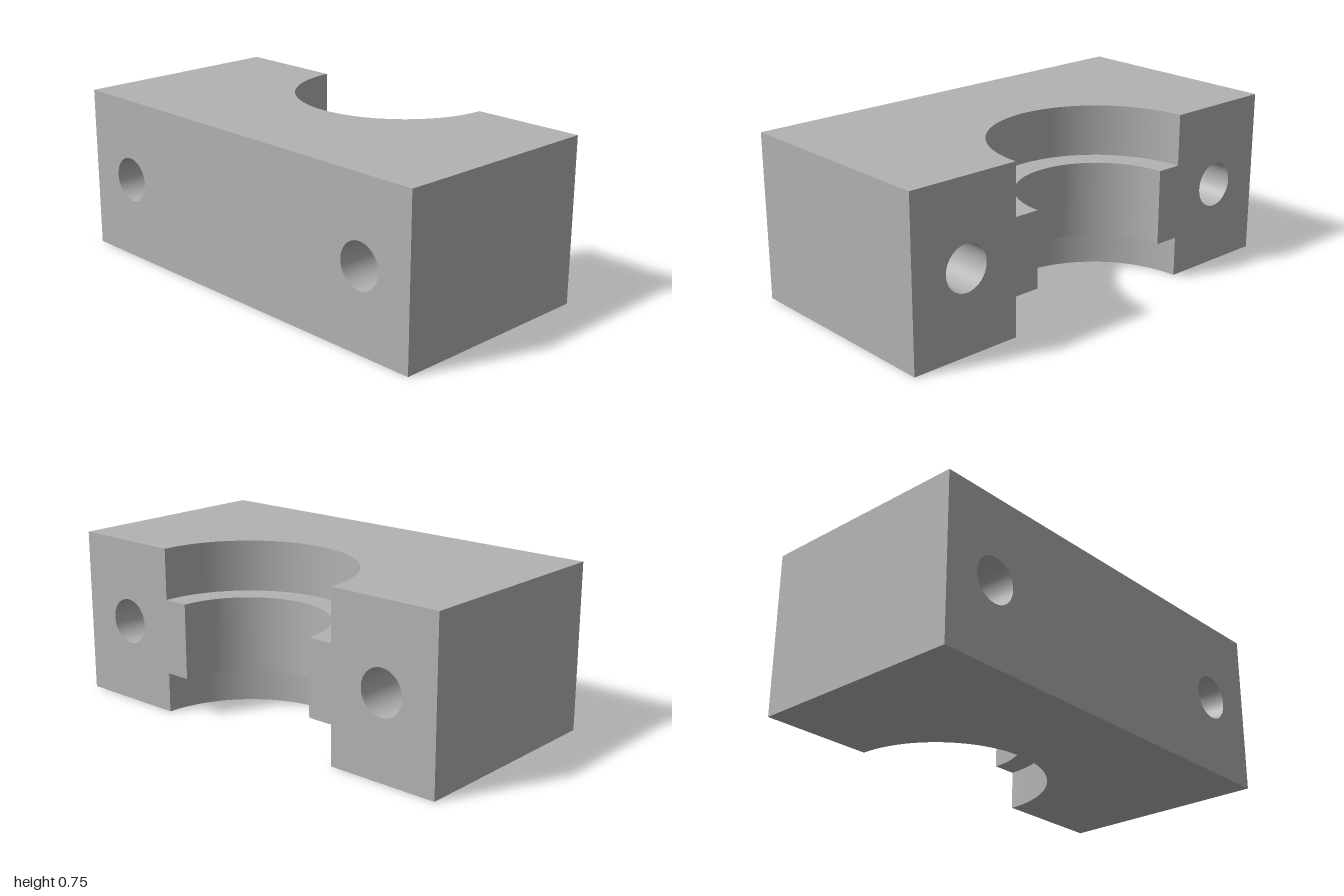
import * as THREE from 'three';

const H = 0.75, D = 0.5;            // height, half depth
const R_OUT = 0.48, R_IN = 0.363;   // recess and bore radii
const Y_LOW = 0.18, Y_HIGH = 0.52;  // bottom and top of the inner rib
const HOLE_X = 0.735, HOLE_Y = 0.374, HOLE_R = 0.102;
const ARC = 32;                     // an arc is drawn with 2 * ARC segments

export function createModel() {
  const group = new THREE.Group();
  group.name = 'halfBearingBlock';
  const steel = new THREE.MeshStandardMaterial({ color: 0xb2b2b2 });
  steel.name = 'greySteel';

  const add = (name, geometry, x = 0, y = 0, z = 0) => {
    const mesh = new THREE.Mesh(geometry, steel);
    mesh.name = name;
    mesh.position.set(x, y, z);
    group.add(mesh);
  };
  const outline = (points) => new THREE.Shape(points.map(([x, y]) => new THREE.Vector2(x, y)));
  const drill = (shape, x) => {
    const hole = new THREE.Path();
    hole.absarc(x, HOLE_Y, HOLE_R, 0, Math.PI * 2, true);
    shape.holes.push(hole);
    return shape;
  };
  const face = (shape) => new THREE.ShapeGeometry(shape, ARC);

  // Top and bottom, cut by the half-round recess at the back
  const plan = outline([[-1, -D], [1, -D], [1, D], [R_OUT, D]]);
  plan.absarc(0, D, R_OUT, 0, Math.PI, true);
  plan.lineTo(-1, D);
  add('topFace', face(plan).rotateX(-Math.PI / 2), 0, H);
  add('bottomFace', face(plan).rotateX(-Math.PI / 2).rotateZ(Math.PI));

  // Front with two bolt holes
  const front = outline([[-1, 0], [1, 0], [1, H], [-1, H]]);
  drill(front, HOLE_X);
  drill(front, -HOLE_X);
  add('frontFace', face(front), 0, 0, D);

  for (const s of [1, -1]) {
    const side = s > 0 ? 'left' : 'right';
    // End wall
    add(side + 'EndFace', new THREE.PlaneGeometry(2 * D, H).rotateY(s * Math.PI / 2), s, H / 2);
    // Stepped mating face at the back
    const back = outline([[R_OUT, 0], [1, 0], [1, H], [R_OUT, H], [R_OUT, Y_HIGH],
      [R_IN, Y_HIGH], [R_IN, Y_LOW], [R_OUT, Y_LOW]].map(([x, y]) => [-s * x, y]));
    drill(back, -s * HOLE_X);
    add(side + 'MatingFace', face(back).rotateY(Math.PI), 0, 0, -D);
    // Bolt hole wall, facing inward
    const wall = [new THREE.Vector2(HOLE_R, D), new THREE.Vector2(HOLE_R, -D)];
    add(side + 'BoltHole', new THREE.LatheGeometry(wall, 2 * ARC).rotateX(Math.PI / 2),
      s * HOLE_X, HOLE_Y);
  }

  // Stepped half bore: one band per profile segment keeps its edges sharp
  const profile = [[R_OUT, H], [R_OUT, Y_HIGH], [R_IN, Y_HIGH],
    [R_IN, Y_LOW], [R_OUT, Y_LOW], [R_OUT, 0]].map(([r, y]) => new THREE.Vector2(r, y));
  const names = ['upperRecess', 'upperLedge', 'bore', 'lowerLedge', 'lowerRecess'];
  names.forEach((name, i) => add(name,
    new THREE.LatheGeometry(profile.slice(i, i + 2), 2 * ARC, -Math.PI / 2, Math.PI), 0, 0, -D));

  return group;
}
